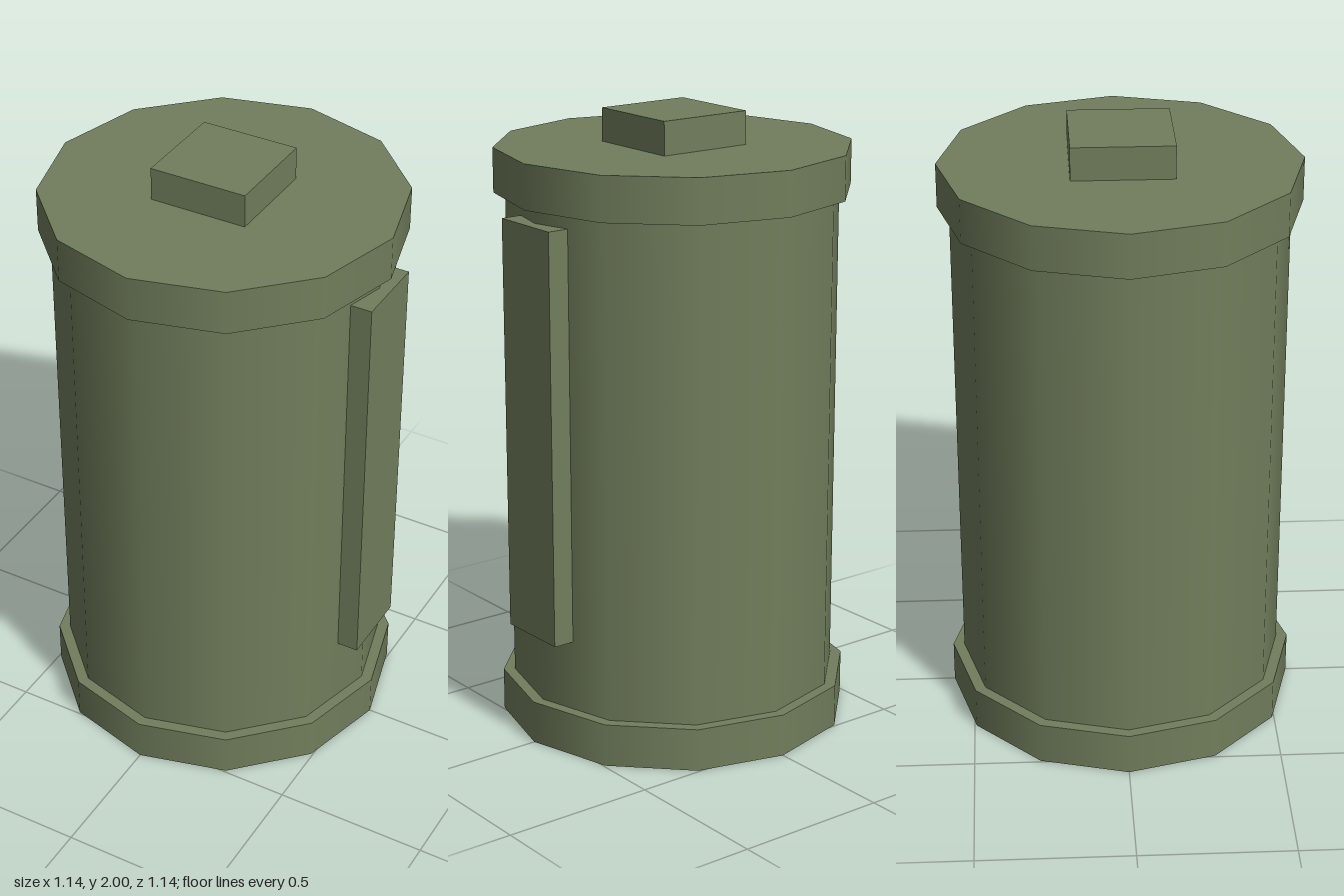
import * as THREE from 'three';

export function createModel() {
  const group = new THREE.Group();
  const olive = new THREE.MeshStandardMaterial({ color: 0x717e5c });
  olive.name = 'olive green';

  // Places a geometry so that its underside rests at the given height
  function add(name, geometry, height, bottom, x = 0) {
    const mesh = new THREE.Mesh(geometry, olive);
    mesh.name = name;
    mesh.position.set(x, bottom + height / 2, 0);
    group.add(mesh);
  }

  // Twelve-sided smooth-shaded drum
  function drum(name, radius, bottom, top) {
    const height = top - bottom;
    add(name, new THREE.CylinderGeometry(radius, radius, height, 12), height, bottom);
  }

  drum('body', 0.533, 0.07, 1.82);
  drum('bottomRim', 0.57, 0, 0.14);
  drum('topRim', 0.57, 1.75, 1.893);

  // Square cap on the lid
  add('cap', new THREE.BoxGeometry(0.322, 0.147, 0.322), 0.147, 1.853);

  // Upright plate on the left side
  add('sidePlate', new THREE.BoxGeometry(0.07, 1.335, 0.25), 1.335, 0.37, 0.535);

  return group;
}
